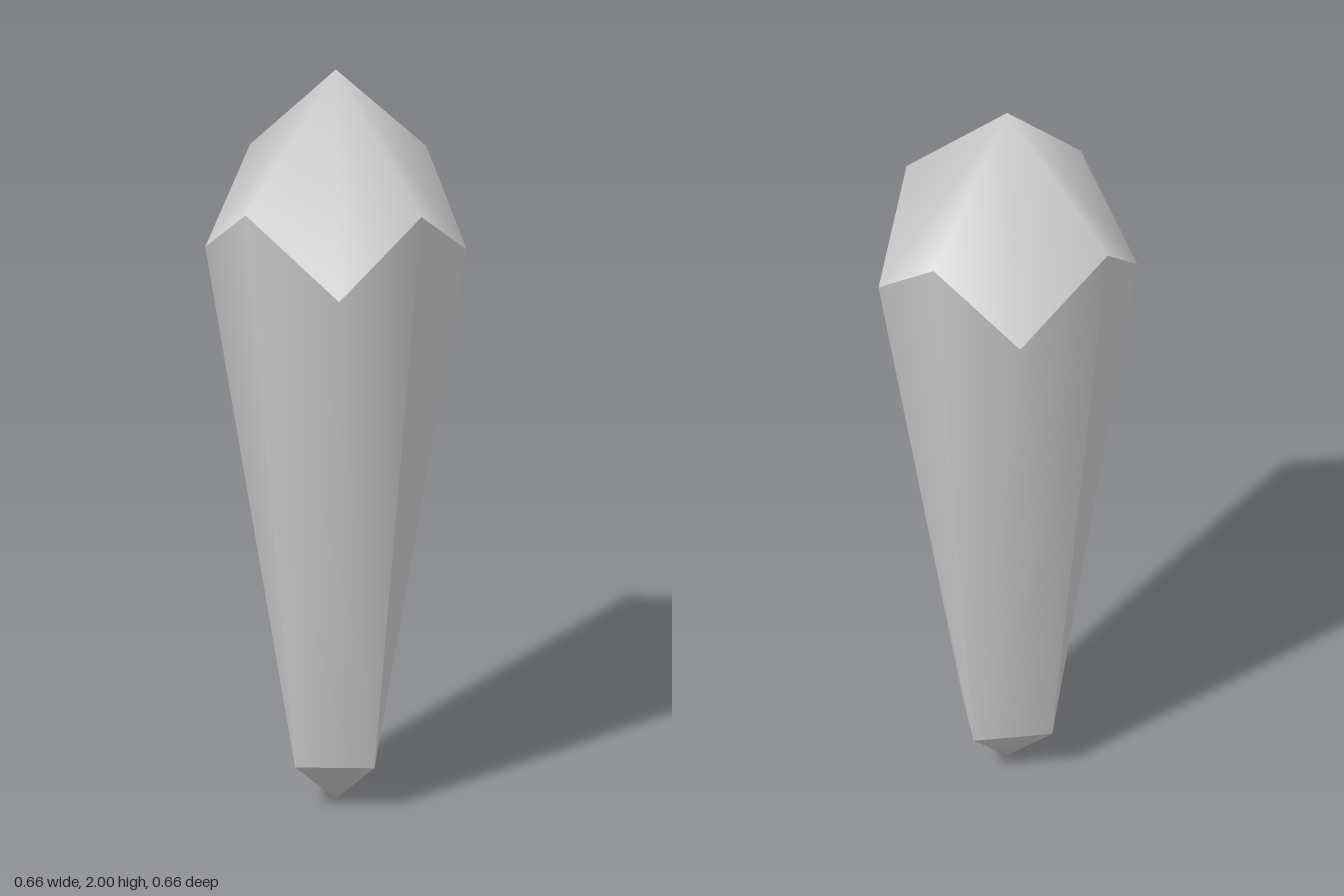
import * as THREE from 'three';

// Corners run around the shaft: front left, front right, back right, back left.
const SIGNS = [[-1, 1], [1, 1], [1, -1], [-1, -1]];
const shoulders = SIGNS.map(([sx, sz]) => [sx * 0.222, 1.695, sz * 0.228]);
const base = SIGNS.map(([sx, sz]) => [sx * 0.1, 0.127, sz * 0.1]);
// Low points of the cap rim, one per side, slightly off centre
const dips = [[0.017, 1.503, 0.33], [0.33, 1.503, -0.015], [0.017, 1.503, -0.333], [-0.33, 1.503, -0.015]];

const material = new THREE.MeshStandardMaterial({ color: 0xcccccc });

function facets(points, index) {
  const geometry = new THREE.BufferGeometry();
  geometry.setAttribute('position', new THREE.Float32BufferAttribute(points.flat(), 3));
  geometry.setIndex(index);
  geometry.computeVertexNormals();
  return geometry;
}

function part(name, geometry) {
  const mesh = new THREE.Mesh(geometry, material);
  mesh.name = name;
  return mesh;
}

export function createModel() {
  const crystal = new THREE.Group();
  crystal.name = 'crystal';

  // Pointed cap: four smooth kites; 0-3 shoulders, 4-7 dips, 8 apex
  const capIndex = [];
  // Lower point: four triangles; 0-3 base corners, 4 tip
  const tipIndex = [];
  for (let i = 0; i < 4; i++) {
    const j = (i + 1) % 4;
    capIndex.push(4 + i, 8, i, 4 + i, j, 8);
    tipIndex.push(i, 4, j);
  }
  crystal.add(part('cap', facets([...shoulders, ...dips, [0, 2, 0]], capIndex)));
  crystal.add(part('lowerTip', facets([...base, [0, 0, 0]], tipIndex)));

  // Tapered shaft: four sides, sharp at the base, blending at the shoulders
  const shaft = new THREE.Group();
  shaft.name = 'shaft';
  for (let i = 0; i < 4; i++) {
    const j = (i + 1) % 4;
    const geometry = facets(
      [base[i], base[j], dips[i], shoulders[i], shoulders[j]],
      [0, 1, 2, 0, 2, 3, 1, 4, 2]
    );
    [i, j].forEach((corner, n) => {
      const [sx, sz] = SIGNS[corner];
      const normal = new THREE.Vector3(sx, -0.15, sz).normalize();
      geometry.attributes.normal.setXYZ(3 + n, normal.x, normal.y, normal.z);
    });
    shaft.add(part('shaftSide', geometry));
  }
  crystal.add(shaft);
  return crystal;
}
